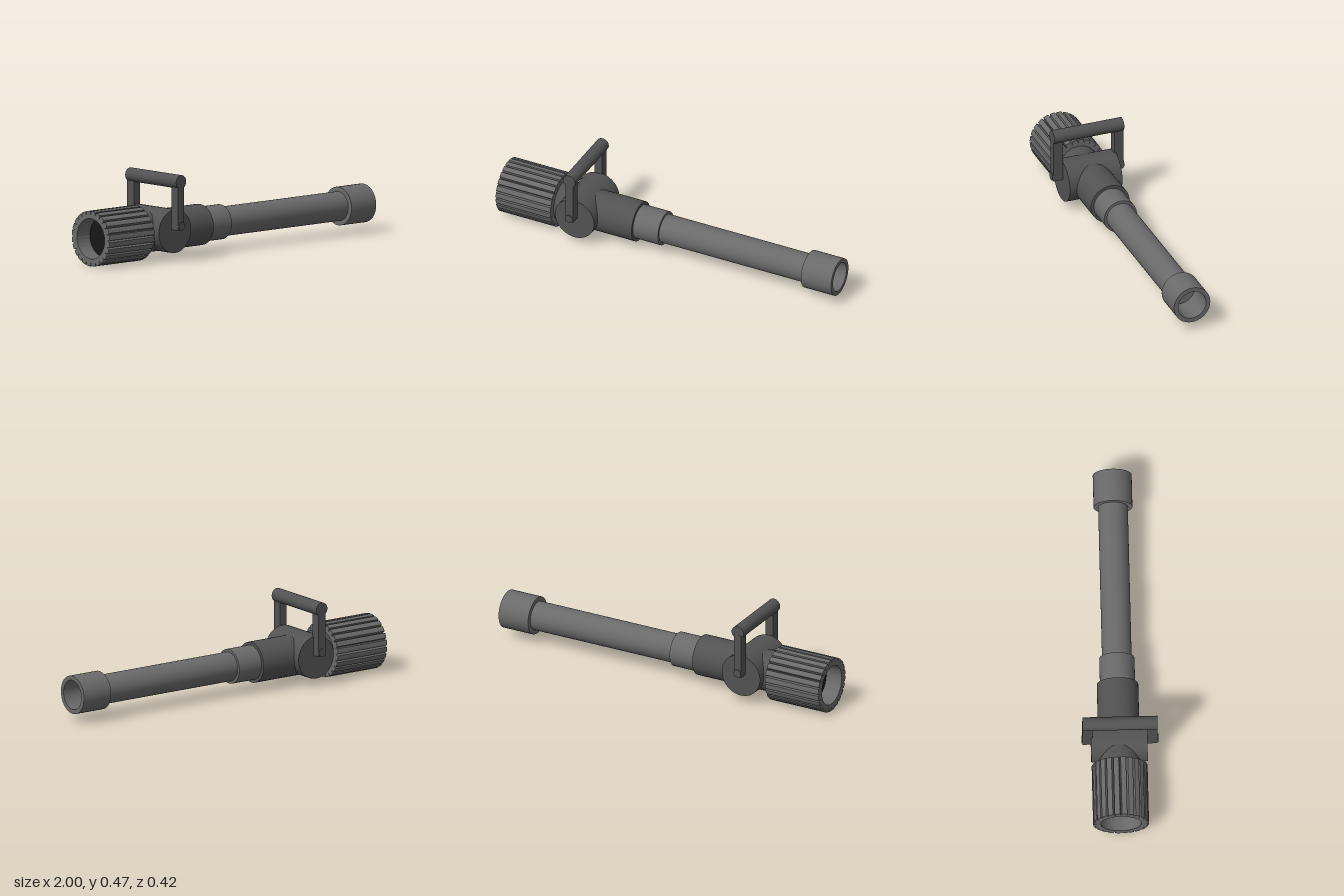
import * as THREE from 'three';
import { toCreasedNormals } from 'three/addons/utils/BufferGeometryUtils.js';

const AXIS_Y = 0.153, AXIS_Z = -0.005;   // main tube axis
const PIVOT_X = -0.523, GRIP_X = -0.528;

const steel = new THREE.MeshStandardMaterial({ color: 0x6a6a6a });
const darkSteel = new THREE.MeshStandardMaterial({ color: 0x525252 });
const black = new THREE.MeshStandardMaterial({ color: 0x181818 });

export function createModel() {
  const model = new THREE.Group();
  model.name = 'handledTube';

  const add = (name, geometry, material, x, y, z) => {
    const mesh = new THREE.Mesh(geometry, material);
    mesh.name = name;
    mesh.position.set(x, y, z);
    model.add(mesh);
    return mesh;
  };

  // Solid of revolution about the main axis; profile is [x, radius] pairs
  const turned = (name, profile, material) => {
    const points = profile.map(([x, r]) => new THREE.Vector2(r, x));
    const geometry = toCreasedNormals(new THREE.LatheGeometry(points, 36), 0.6);
    geometry.rotateZ(-Math.PI / 2);
    return add(name, geometry, material, 0, AXIS_Y, AXIS_Z);
  };

  // Cylinder lying across the tube, along z
  const across = (name, radius, z0, z1, x, y, segments) => {
    const geometry = new THREE.CylinderGeometry(radius, radius, z1 - z0, segments);
    geometry.rotateX(Math.PI / 2);
    return add(name, geometry, darkSteel, x, y, (z0 + z1) / 2);
  };

  // Main tube, stepping down towards the open muzzle
  turned('body', [[-0.9, 0], [-0.9, 0.112], [-0.2, 0.112], [-0.2, 0]], darkSteel);
  turned('collar', [[-0.21, 0], [-0.21, 0.095], [-0.05, 0.095], [-0.05, 0]], steel);
  turned('barrel', [[-0.06, 0], [-0.06, 0.08], [0.83, 0.08], [0.83, 0]], steel);
  turned('muzzleRing',
    [[0.818, 0.078], [0.818, 0.105], [1, 0.105], [1, 0.081], [0.825, 0.081]], steel);

  // Grooved end cap with a round recess
  const teeth = 24, outer = 0.151, inner = 0.131, halfGroove = 0.035;
  const outline = [];
  for (let i = 0; i < teeth; i++) {
    const a = (i / teeth) * Math.PI * 2, step = (Math.PI * 2) / teeth;
    for (const [r, angle] of [[inner, a], [outer, a + halfGroove], [outer, a + step / 2],
      [outer, a + step - halfGroove]]) {
      outline.push(new THREE.Vector2(r * Math.cos(angle), r * Math.sin(angle)));
    }
  }
  const section = new THREE.Shape(outline);
  section.holes.push(new THREE.Path().absarc(0, 0, 0.11, 0, Math.PI * 2, true));
  const capGeometry = new THREE.ExtrudeGeometry(section,
    { depth: 0.33, bevelEnabled: false, curveSegments: 18 });
  capGeometry.rotateY(Math.PI / 2);
  add('groovedCap', capGeometry, steel, -1, AXIS_Y, AXIS_Z);

  // Dark floor of the cap recess
  const floor = new THREE.CircleGeometry(0.111, 32);
  floor.rotateY(-Math.PI / 2);
  add('capRecessFloor', floor, black, -0.905, AXIS_Y, AXIS_Z);

  // Cross drum that carries the handle
  across('pivotDrum', 0.118, -0.157, 0.148, PIVOT_X, 0.163, 40);

  // Carrying handle
  across('handleGrip', 0.037, -0.202, 0.203, GRIP_X, 0.438, 28);
  for (const side of [-1, 1]) {
    add(side > 0 ? 'frontHandleArm' : 'backHandleArm',
      new THREE.BoxGeometry(0.045, 0.25, 0.054), darkSteel, GRIP_X, 0.3, side * 0.176);
    across(side > 0 ? 'frontPivotPin' : 'backPivotPin', 0.0225,
      side > 0 ? 0.14 : -0.208, side > 0 ? 0.209 : -0.14, GRIP_X, 0.197, 20);
  }
  return model;
}
